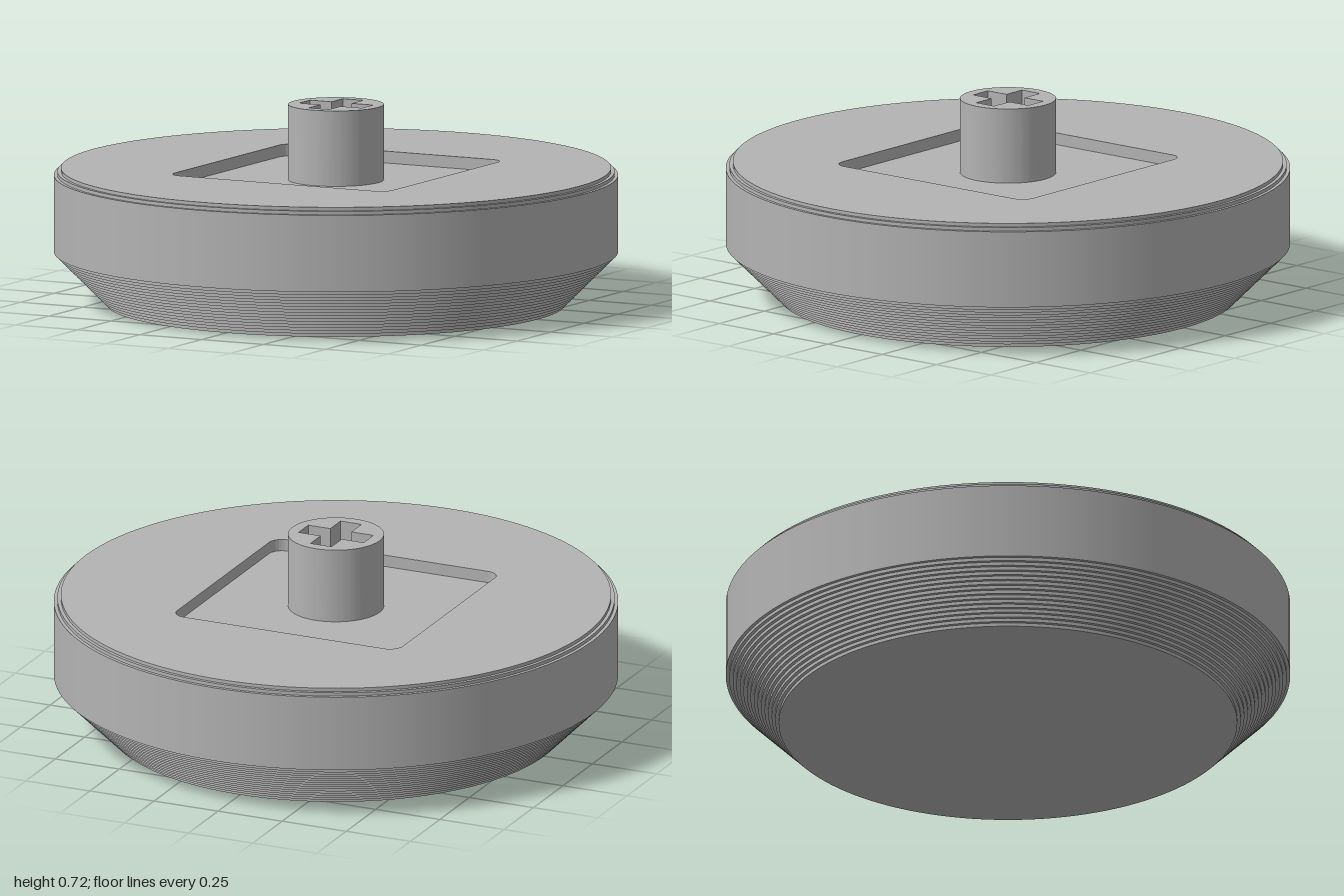
import * as THREE from 'three';
import { mergeGeometries, toCreasedNormals } from 'three/addons/utils/BufferGeometryUtils.js';

const STEP = 0.0125, STEPS = 15;
const TOP = 0.4875, FLOOR = 0.445, STEM_TOP = 0.715;

const circle = (r) => new THREE.Shape().absarc(0, 0, r, 0, Math.PI * 2, false);

// Square outline with rounded corners
function roundedSquare(h, r) {
  const p = new THREE.Path();
  p.absarc(h - r, h - r, r, 0, Math.PI / 2, false);
  p.absarc(r - h, h - r, r, Math.PI / 2, Math.PI, false);
  p.absarc(r - h, r - h, r, Math.PI, Math.PI * 1.5, false);
  p.absarc(h - r, r - h, r, Math.PI * 1.5, Math.PI * 2, false);
  p.closePath();
  return p;
}

// Plus-shaped outline: arm length l, half width w
function cross(l, w) {
  return new THREE.Path([
    [l, -w], [l, w], [w, w], [w, l], [-w, l], [-w, w],
    [-l, w], [-l, -w], [-w, -w], [-w, -l], [w, -l], [w, -w],
  ].map(([x, y]) => new THREE.Vector2(x, y)));
}

// Upright extrusion between two heights, with crisp edges and smooth curves
function extrudeUp(shape, y0, y1, curveSegments) {
  const g = new THREE.ExtrudeGeometry(shape, { depth: y1 - y0, bevelEnabled: false, curveSegments });
  g.rotateX(-Math.PI / 2).translate(0, y0, 0);
  return toCreasedNormals(g, 0.5);
}

// Revolved profile, one band per segment so every step stays sharp
function steppedLathe(profile) {
  const pts = profile.map(([r, y]) => new THREE.Vector2(r, y));
  return mergeGeometries(pts.slice(1).map((p, i) => new THREE.LatheGeometry([pts[i], p], 128)));
}

export function createModel() {
  const group = new THREE.Group();
  const grey = new THREE.MeshStandardMaterial({ color: 0xb3b3b3 });
  grey.name = 'grey';
  const add = (name, geometry) => {
    const mesh = new THREE.Mesh(geometry, grey);
    mesh.name = name;
    group.add(mesh);
  };

  // Body: terraced underside, straight wall, small stepped shoulder
  const profile = [[0, 0]];
  for (let i = 0; i < STEPS; i++) {
    const r = 1 - (STEPS - i) * STEP;
    profile.push([r, i * STEP], [r, (i + 1) * STEP]);
  }
  profile.push([1, STEPS * STEP], [1, TOP - 2 * STEP],
    [1 - STEP, TOP - 2 * STEP], [1 - STEP, TOP - STEP], [1 - 2 * STEP, TOP - STEP]);
  add('body', steppedLathe(profile));

  // Top plate with the square pocket cut through it
  const plate = circle(1 - 2 * STEP);
  plate.holes.push(roundedSquare(0.44, 0.05));
  add('topPlate', extrudeUp(plate, FLOOR, TOP, 64));

  // Pocket floor
  add('pocketFloor', new THREE.PlaneGeometry(0.9, 0.9).rotateX(-Math.PI / 2).translate(0, FLOOR, 0));

  // Round stem with a cross-shaped socket
  const stem = circle(0.17);
  stem.holes.push(cross(0.127, 0.041));
  add('stem', extrudeUp(stem, FLOOR, STEM_TOP, 64));

  return group;
}
